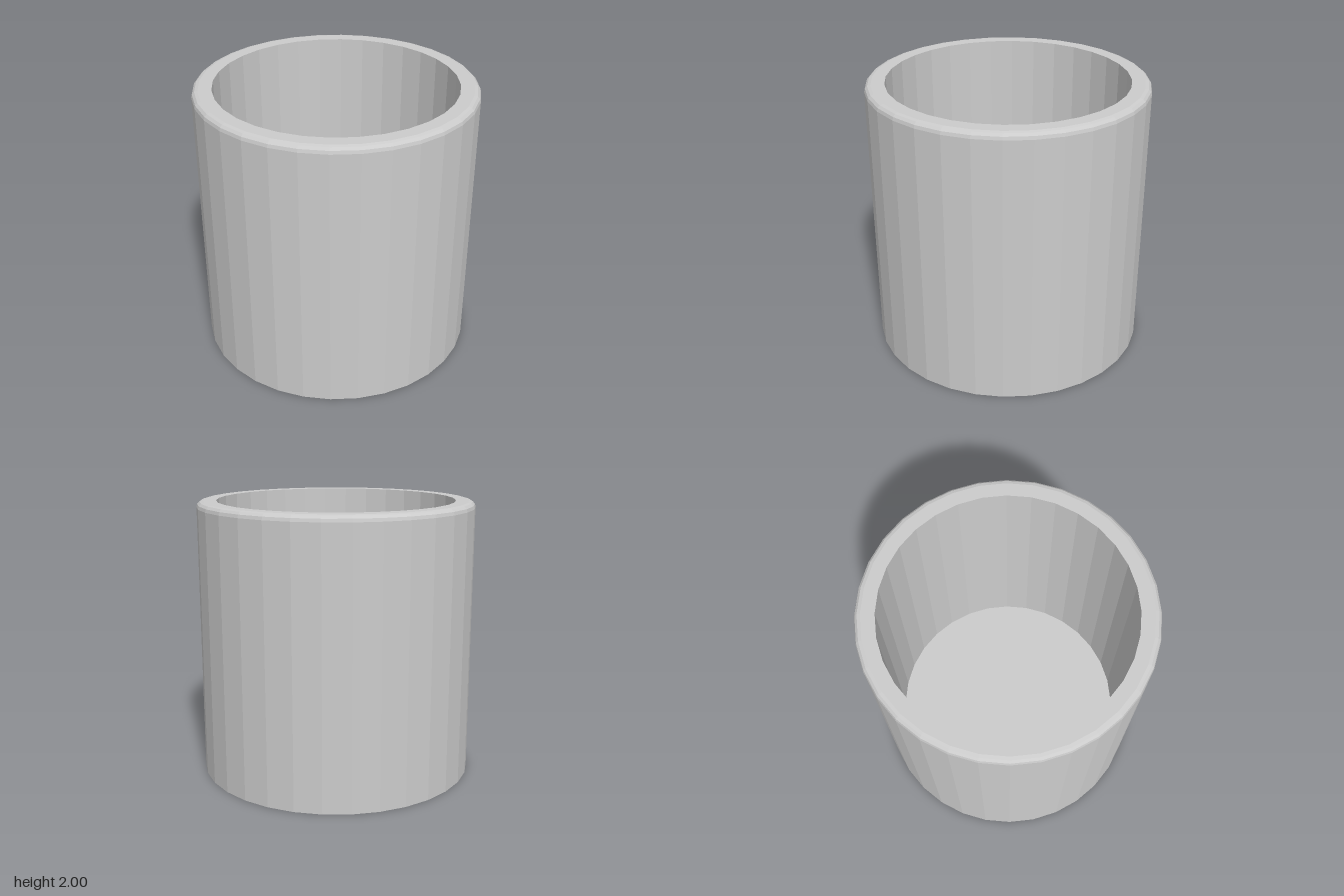
import * as THREE from 'three';

export function createModel() {
  const group = new THREE.Group();
  group.name = 'cup';
  const sides = 32, outer = 1, inner = 0.86, height = 2, floor = 0.14;
  const bevel = 0.045, bevelSteps = 3;

  // Wall profile: underside, outer wall, rounded outer rim, inner wall, floor
  const profile = [new THREE.Vector2(0, 0), new THREE.Vector2(outer, 0)];
  for (let i = 0; i <= bevelSteps; i++) {
    const a = (i / bevelSteps) * Math.PI / 2;
    profile.push(new THREE.Vector2(
      outer - bevel + bevel * Math.cos(a),
      height - bevel + bevel * Math.sin(a)
    ));
  }
  profile.push(
    new THREE.Vector2(inner, height),
    new THREE.Vector2(inner, floor),
    new THREE.Vector2(0, floor)
  );

  const body = new THREE.Mesh(
    new THREE.LatheGeometry(profile, sides),
    new THREE.MeshStandardMaterial({ color: 0xcccccc, flatShading: true })
  );
  body.name = 'cupBody';
  group.add(body);
  return group;
}
